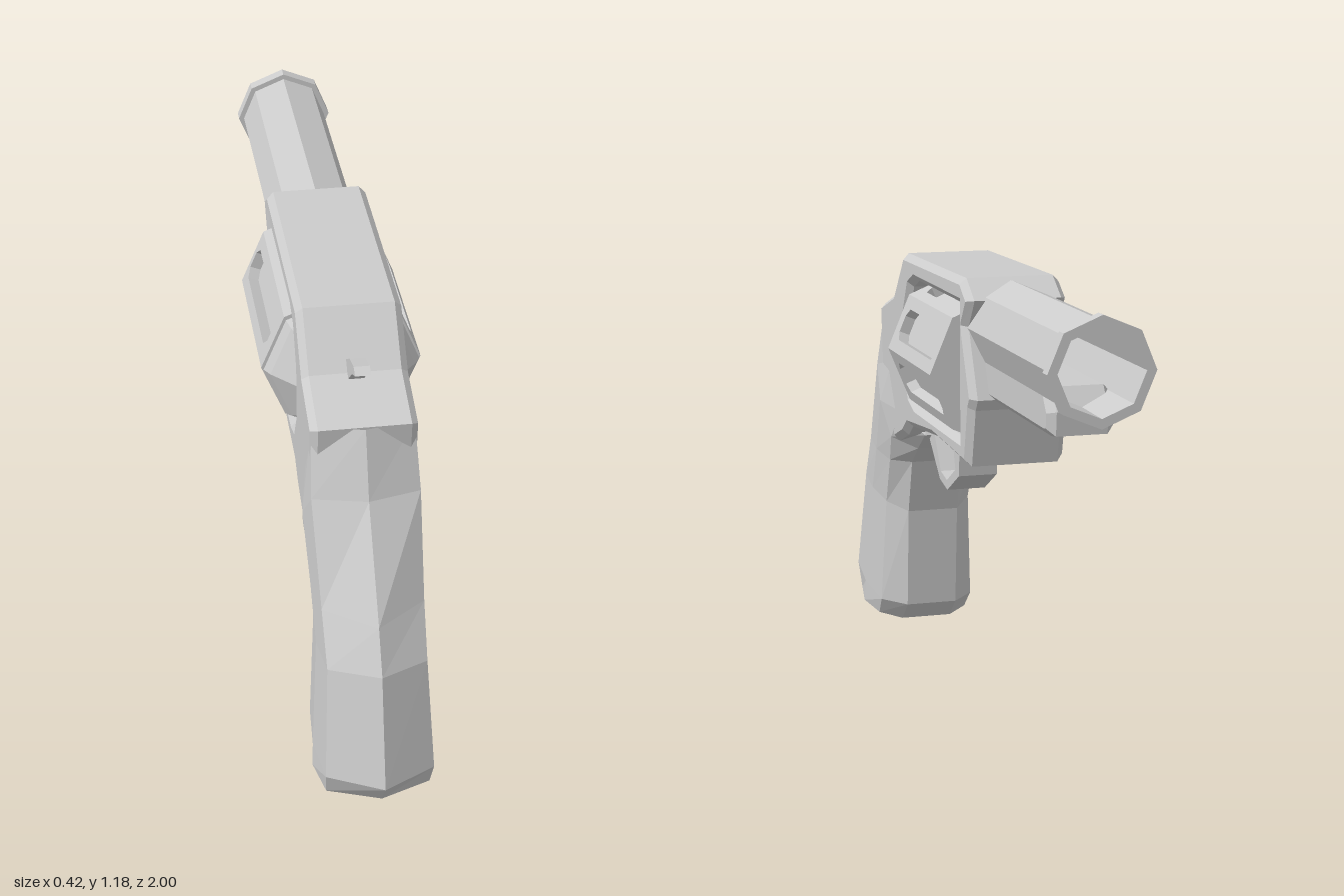
import * as THREE from 'three';

const material = new THREE.MeshStandardMaterial({ color: 0xcccccc, flatShading: true });

function part(name, geometry) {
  const mesh = new THREE.Mesh(geometry, material);
  mesh.name = name;
  return mesh;
}

// Side outline given as [z, y], extruded across x with chamfered edges
function slab(outline, halfWidth, bevel, hole) {
  const points = (list) => list.map(([z, y]) => new THREE.Vector2(-z, y));
  const shape = new THREE.Shape(points(outline));
  if (hole) shape.holes.push(new THREE.Path(points(hole)));
  const depth = 2 * (halfWidth - bevel);
  return new THREE.ExtrudeGeometry(shape, {
    depth, bevelEnabled: bevel > 0, bevelThickness: bevel,
    bevelSize: bevel, bevelOffset: -bevel, bevelSegments: 1,
  }).translate(0, 0, -depth / 2).rotateY(Math.PI / 2);
}

// Eight-sided turned part along z; profile given as [radius, z]
function octagonal(profile, y) {
  return new THREE.LatheGeometry(profile.map(([r, z]) => new THREE.Vector2(r, z)), 8)
    .rotateX(Math.PI / 2).translate(0, y, 0);
}

// Grip lofted through slanted rings: back ridge, back edge, front edge, front strip
function gripGeometry() {
  const levels = [
    { back: [0.63, 0.985], sideBack: [0.585, 0.97], sideFront: [0.40, 0.70], front: [0.33, 0.64], w: 0.13, mid: 0.13 },
    { back: [0.69, 0.81], sideBack: [0.645, 0.80], sideFront: [0.48, 0.61], front: [0.41, 0.585], w: 0.138, mid: 0.15 },
    { back: [0.865, 0.55], sideBack: [0.77, 0.55], sideFront: [0.53, 0.53], front: [0.48, 0.53], w: 0.13, mid: 0.142 },
    { back: [0.925, 0.44], sideBack: [0.85, 0.42], sideFront: [0.59, 0.39], front: [0.525, 0.37], w: 0.127, mid: 0.138 },
    { back: [1.0, 0.135], sideBack: [0.915, 0.12], sideFront: [0.61, 0.08], front: [0.545, 0.075], w: 0.14, mid: 0.153 },
    { back: [0.95, 0.06], sideBack: [0.885, 0.045], sideFront: [0.66, 0.025], front: [0.61, 0.015], w: 0.135, mid: 0.155 },
  ];
  const rings = levels.map(({ back, sideBack, sideFront, front, w, mid }) => {
    const middle = [(sideBack[0] + sideFront[0]) / 2, (sideBack[1] + sideFront[1]) / 2];
    const half = [[w, sideBack], [mid, middle], [w, sideFront], [0.075, front]];
    const mirrored = half.slice().reverse().map(([x, p]) => [-x, p]);
    return [[0, back], ...half, ...mirrored].map(([x, [z, y]]) => [x, y, z]);
  });
  const positions = [];
  const tri = (a, b, c) => positions.push(...a, ...b, ...c);
  const n = rings[0].length;
  const last = rings[rings.length - 1];
  for (let i = 0; i < n; i++) {
    const j = (i + 1) % n;
    for (let k = 0; k + 1 < rings.length; k++) {
      const upper = rings[k], lower = rings[k + 1];
      tri(lower[i], lower[j], upper[j]);
      tri(lower[i], upper[j], upper[i]);
    }
    tri([0, 0.8, 0.43], rings[0][i], rings[0][j]);
    tri([0, 0, 0.74], last[j], last[i]);
  }
  const geometry = new THREE.BufferGeometry();
  geometry.setAttribute('position', new THREE.Float32BufferAttribute(positions, 3));
  geometry.computeVertexNormals();
  return geometry;
}

// Drum: solid core wrapped in eight panels, each with a chamfer-ended flute
function createDrum() {
  const drum = new THREE.Group();
  drum.name = 'drum';
  const radius = 0.21, front = -0.235, rear = 0.215, wall = 0.03;
  const apothem = radius * Math.cos(Math.PI / 8);
  const side = radius * Math.sin(Math.PI / 8);
  const coreRadius = (apothem - wall) / Math.cos(Math.PI / 8);
  drum.add(part('drumCore', octagonal([[0, front], [coreRadius, front], [coreRadius, rear], [0, rear]], 0)));

  const panel = new THREE.Shape([[-side, front], [side, front], [side, rear], [-side, rear]]
    .map(([x, y]) => new THREE.Vector2(x, y)));
  const h = 0.045, c = 0.022, z0 = -0.19, z1 = 0.195;
  panel.holes.push(new THREE.Path([
    [-h, z0 + c], [-h, z1 - c], [-h + c, z1], [h - c, z1],
    [h, z1 - c], [h, z0 + c], [h - c, z0], [-h + c, z0],
  ].map(([x, y]) => new THREE.Vector2(x, y))));
  const geometry = new THREE.ExtrudeGeometry(panel, { depth: wall, bevelEnabled: false })
    .translate(0, 0, apothem - wall).rotateX(Math.PI / 2).rotateZ(Math.PI);
  // After turning, the panel faces up and its length must run front to rear
  geometry.rotateY(Math.PI);
  const box = new THREE.Box3().setFromBufferAttribute(geometry.attributes.position);
  if (box.max.y < 0) geometry.rotateZ(Math.PI);
  geometry.computeBoundingBox();
  geometry.translate(0, 0, front - geometry.boundingBox.min.z);
  for (let i = 0; i < 8; i++) {
    const mesh = part('drumPanel', geometry);
    mesh.rotation.z = (i + 0.5) * Math.PI / 4;
    drum.add(mesh);
  }
  drum.position.y = 0.92;
  return drum;
}

export function createModel() {
  const model = new THREE.Group();
  model.name = 'revolver';

  // Frame with the drum window
  model.add(part('frame', slab([
    [0.34, 1.168], [-0.26, 1.175], [-0.335, 1.125], [-0.28, 1.05], [-0.365, 0.87],
    [-0.345, 0.84], [-0.31, 0.685], [0.03, 0.70], [0.30, 0.675], [0.35, 0.64],
    [0.46, 0.60], [0.60, 0.80], [0.62, 0.985], [0.455, 1.04],
  ], 0.135, 0.018, [
    [-0.243, 0.75], [-0.243, 1.105], [0.22, 1.105], [0.28, 1.08],
    [0.33, 0.99], [0.33, 0.85], [0.28, 0.77], [0.22, 0.75],
  ])));

  model.add(part('grip', gripGeometry()));

  // Drum and the tapered shield behind it
  model.add(createDrum());
  model.add(part('drumShield', octagonal(
    [[0, 0.225], [0.205, 0.225], [0.19, 0.25], [0.13, 0.315], [0.10, 0.345], [0, 0.345]], 0.92)));

  // Hollow barrel with muzzle ring, and the lug beneath it
  model.add(part('barrel', octagonal([
    [0, -0.4], [0.105, -0.4], [0.11, -1], [0.135, -1], [0.135, -0.965],
    [0.12, -0.965], [0.12, -0.255], [0, -0.255],
  ], 1.047)));
  model.add(part('barrelLug', slab([
    [-0.28, 0.985], [-0.82, 0.985], [-0.86, 0.93], [-0.855, 0.87], [-0.82, 0.865], [-0.28, 0.865],
  ], 0.085, 0.02)));

  // Trigger guard, trigger and hammer
  model.add(part('triggerGuard', slab([
    [0.37, 0.64], [0.24, 0.53], [0.16, 0.515], [0.04, 0.58], [0.025, 0.71],
    [0.055, 0.71], [0.07, 0.595], [0.165, 0.542], [0.23, 0.555], [0.31, 0.67],
  ], 0.055, 0)));
  model.add(part('trigger', slab([
    [0.215, 0.70], [0.205, 0.63], [0.185, 0.57], [0.155, 0.555], [0.17, 0.62], [0.165, 0.70],
  ], 0.025, 0)));
  model.add(part('hammer', slab([
    [0.38, 1.06], [0.43, 1.065], [0.49, 1.105], [0.555, 1.122], [0.58, 1.11],
    [0.53, 1.085], [0.49, 1.05], [0.46, 1.02], [0.40, 1.02],
  ], 0.02, 0)));

  return model;
}
